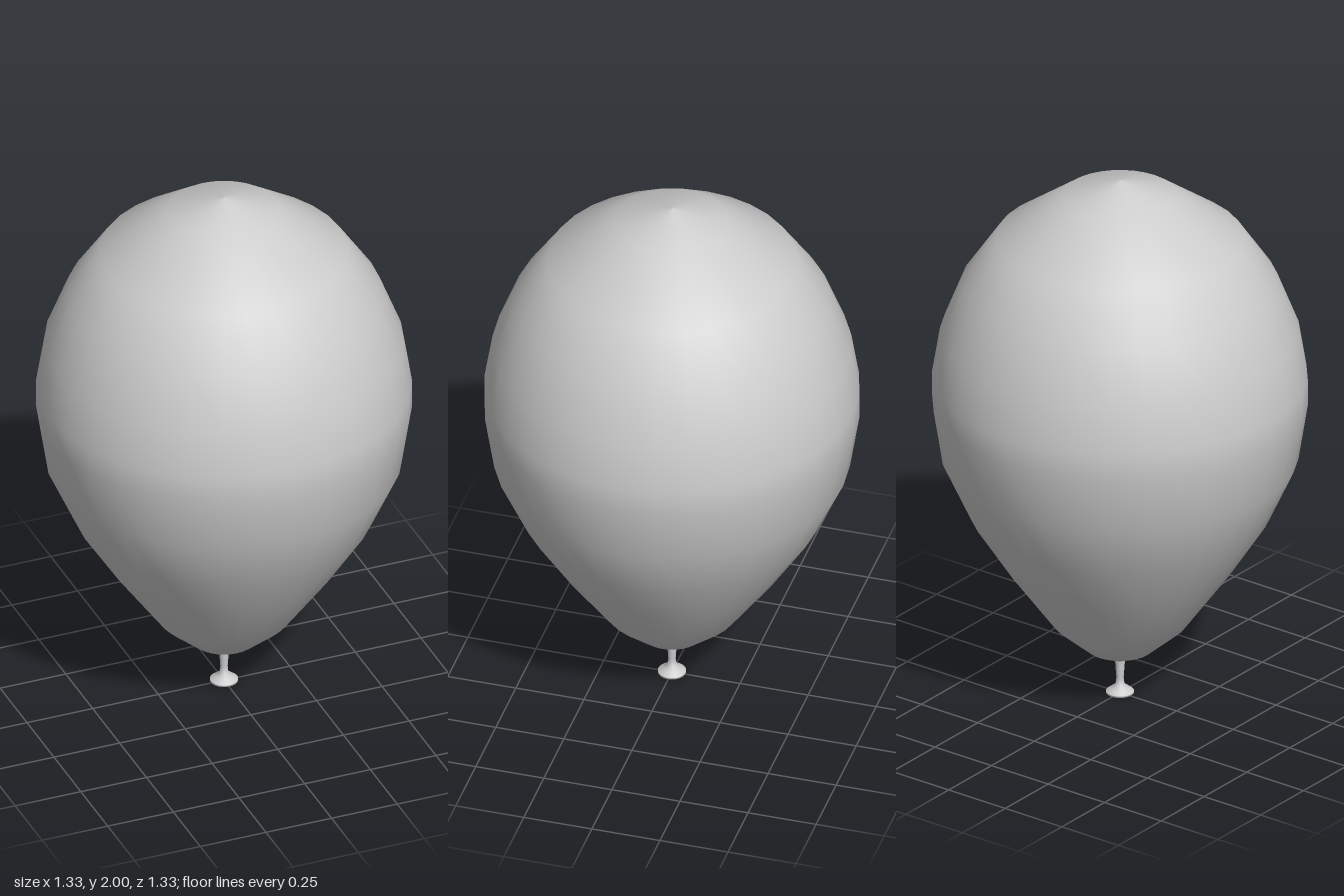
import * as THREE from 'three';

const SEGMENTS = 32;

// Revolves a bottom-to-top [radius, height] profile around y
function revolve(name, profile, material) {
  const points = profile.map(([r, y]) => new THREE.Vector2(r, y));
  const mesh = new THREE.Mesh(new THREE.LatheGeometry(points, SEGMENTS), material);
  mesh.name = name;
  return mesh;
}

export function createModel() {
  const group = new THREE.Group();
  group.name = 'balloon';
  const rubber = new THREE.MeshStandardMaterial({ color: 0xcccccc, side: THREE.DoubleSide });

  // Inflated teardrop body
  group.add(revolve('body', [
    [0.018, 0.13], [0.12, 0.18], [0.24, 0.285], [0.395, 0.5], [0.53, 0.71],
    [0.63, 0.93], [0.663, 1.14], [0.663, 1.24], [0.635, 1.41], [0.56, 1.6],
    [0.44, 1.775], [0.2, 1.945], [0, 2],
  ], rubber));

  // Narrow neck that flares into the rolled lip
  group.add(revolve('neck', [
    [0.05, 0.008], [0.035, 0.02], [0.016, 0.035], [0.013, 0.06], [0.018, 0.13],
  ], rubber));

  // Lip rim with a slightly hollow underside
  group.add(revolve('lip', [
    [0, 0.012], [0.025, 0.008], [0.042, 0], [0.05, 0.002], [0.05, 0.008],
  ], rubber));

  return group;
}
